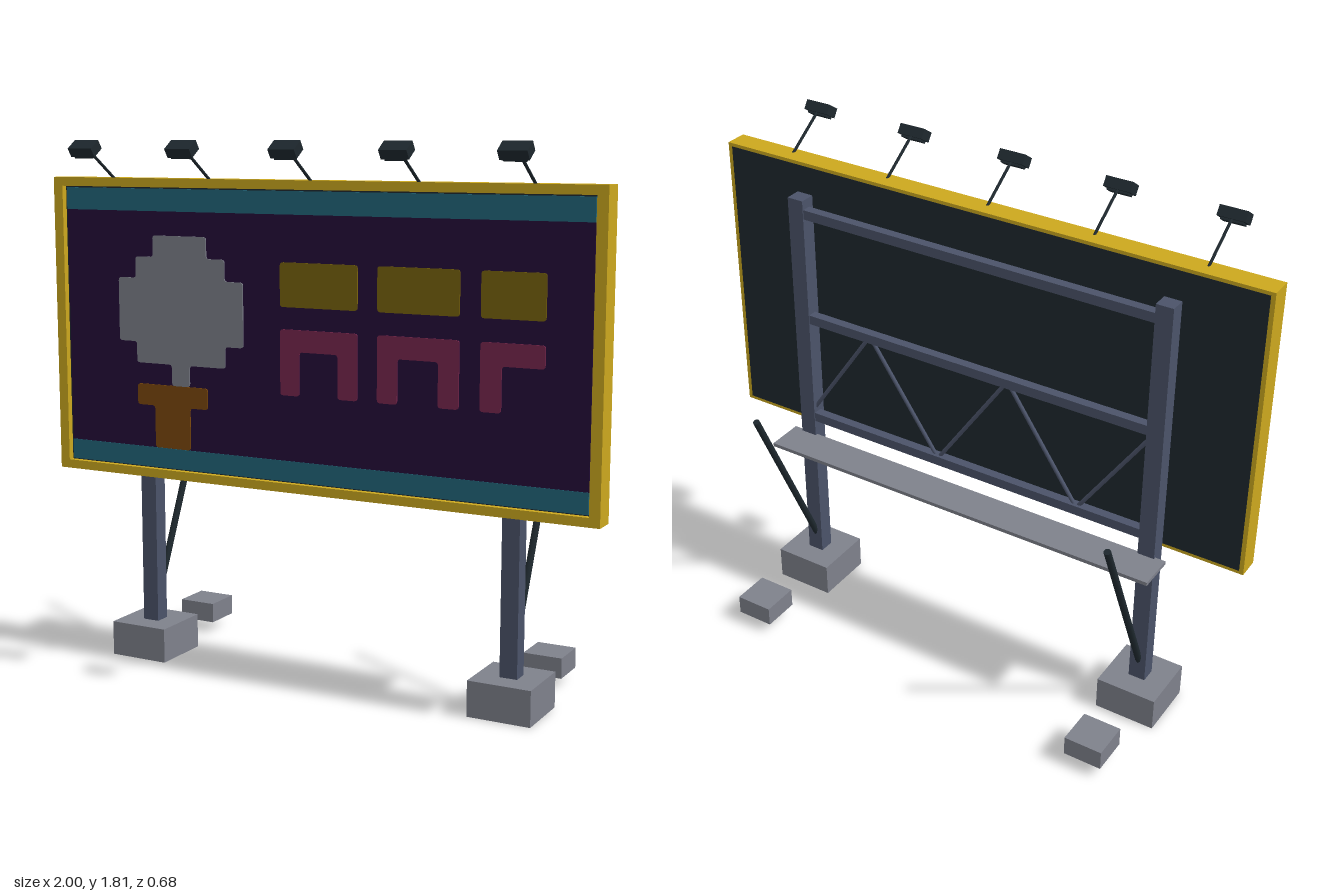
import * as THREE from 'three';

const mat = (name, color) => {
  const m = new THREE.MeshStandardMaterial({ color });
  m.name = name;
  return m;
};

export function createModel() {
  const M = {
    frame: mat('frame yellow', 0xcca81e),
    concrete: mat('concrete grey', 0x7e818b),
    steel: mat('blue steel', 0x4b5369),
    dark: mat('dark metal', 0x1e282e),
    purple: mat('poster purple', 0x240c3a),
    teal: mat('band teal', 0x22667a),
    gold: mat('tile gold', 0x78620c),
    pink: mat('tile pink', 0x78264e),
    orange: mat('pot orange', 0x7c480c),
  };
  const root = new THREE.Group();

  const add = (name, geo, material, parent = root) => {
    const mesh = new THREE.Mesh(geo, material);
    mesh.name = name;
    parent.add(mesh);
    return mesh;
  };
  // box given by its limits on each axis
  const box = (name, m, [x0, x1], [y0, y1], [z0, z1], parent) => {
    const b = add(name, new THREE.BoxGeometry(x1 - x0, y1 - y0, z1 - z0), m, parent);
    b.position.set((x0 + x1) / 2, (y0 + y1) / 2, (z0 + z1) / 2);
    return b;
  };
  // round bar between two points
  const bar = (name, m, a, b, r, parent) => {
    const p = new THREE.Vector3(...a), q = new THREE.Vector3(...b);
    const d = q.clone().sub(p);
    const c = add(name, new THREE.CylinderGeometry(r, r, d.length(), 8), m, parent);
    c.position.copy(p).add(q).multiplyScalar(0.5);
    c.quaternion.setFromUnitVectors(new THREE.Vector3(0, 1, 0), d.normalize());
    return c;
  };

  // Sign frame with a rectangular opening
  const outline = (s, x, y0, y1) =>
    s.moveTo(-x, y0).lineTo(x, y0).lineTo(x, y1).lineTo(-x, y1).closePath();
  const frame = outline(new THREE.Shape(), 1, 0.66, 1.68);
  frame.holes.push(outline(new THREE.Path(), 0.964, 0.69, 1.65));
  const frameGeo = new THREE.ExtrudeGeometry(frame, { depth: 0.078, bevelEnabled: false });
  add('signFrame', frameGeo.translate(0, 0, 0.097), M.frame);

  // Backing and poster
  box('backPanel', M.dark, [-0.985, 0.985], [0.672, 1.668], [0.096, 0.1]);
  box('posterBacking', M.dark, [-0.964, 0.964], [0.69, 1.65], [0.1, 0.154]);
  box('poster', M.purple, [-0.957, 0.957], [0.76, 1.57], [0.154, 0.158]);
  box('topBand', M.teal, [-0.957, 0.957], [1.57, 1.645], [0.154, 0.16]);
  box('bottomBand', M.teal, [-0.957, 0.957], [0.694, 0.763], [0.154, 0.16]);

  // Poster artwork: stepped outlines on a cell grid, with softened corners
  const art = (name, m, cells) => {
    const pts = cells.map(([i, j]) => new THREE.Vector2(-0.745 + 0.0707 * i, 0.764 + 0.0725 * j));
    const s = new THREE.Shape();
    pts.forEach((p, k) => {
      const prev = pts[(k + pts.length - 1) % pts.length], next = pts[(k + 1) % pts.length];
      const a = p.clone().add(prev.clone().sub(p).setLength(0.011));
      const b = p.clone().add(next.clone().sub(p).setLength(0.011));
      if (k) s.lineTo(a.x, a.y);
      else s.moveTo(a.x, a.y);
      s.quadraticCurveTo(p.x, p.y, b.x, b.y);
    });
    s.closePath();
    const g = new THREE.ExtrudeGeometry(s, { depth: 0.005, bevelEnabled: false, curveSegments: 3 });
    add(name, g.translate(0, 0, 0.157), m);
  };
  art('treeArt', M.concrete, [
    [3, 3], [4, 3], [4, 4], [6, 4], [6, 5], [7, 5], [7, 8], [6, 8], [6, 9], [5, 9], [5, 10],
    [2, 10], [2, 9], [1, 9], [1, 8], [0, 8], [0, 5], [1, 5], [1, 4], [3, 4],
  ]);
  art('potArt', M.orange, [[2, 0], [4, 0], [4, 2], [5, 2], [5, 3], [1, 3], [1, 2], [2, 2]]);
  for (const [a, b] of [[9, 13], [14, 18], [19, 22]]) {
    art('goldTile', M.gold, [[a, 7], [b, 7], [b, 9], [a, 9]]);
    const rightLeg = b - a === 4 ? [[b - 1, 5], [b - 1, 3], [b, 3]] : [[b, 5]];
    art('pinkArch', M.pink, [[a, 3], [a + 1, 3], [a + 1, 5], ...rightLeg, [b, 6], [a, 6]]);
  }

  // Posts, footings and rear braces, mirrored left and right
  for (const side of [-1, 1]) {
    const support = new THREE.Group();
    support.name = side > 0 ? 'leftSupport' : 'rightSupport';
    const c = side * 0.683;
    box('footing', M.concrete, [c - 0.108, c + 0.108], [0, 0.12], [-0.04, 0.175], support);
    box('post', M.steel, [c - 0.03, c + 0.03], [0.12, 1.57], [0.04, 0.096], support);
    bar('rearBrace', M.dark, [c, 0.18, 0.055], [c, 0.845, -0.245], 0.012, support);
    box('rearBlock', M.concrete, [c - 0.068, c + 0.068], [0.04, 0.11], [-0.34, -0.205], support);
    root.add(support);
  }

  // Rear crossbeams and zigzag bracing
  for (const y of [0.72, 1.12, 1.52])
    box('crossBeam', M.steel, [-0.683, 0.683], [y - 0.017, y + 0.017], [0.043, 0.076]);
  for (let i = 0; i < 5; i++) {
    const node = (k) => [0.683 - k * 0.2732, k % 2 ? 1.12 : 0.72, 0.06];
    bar('zigzagBrace', M.steel, node(i), node(i + 1), 0.007);
  }

  // Service walkway
  box('walkway', M.concrete, [-0.75, 0.75], [0.63, 0.643], [-0.083, 0.05]);

  // Floodlights on slanted arms
  for (let i = -2; i <= 2; i++) {
    const lamp = new THREE.Group();
    lamp.name = 'floodlight';
    lamp.position.x = i * 0.382;
    bar('lampArm', M.dark, [0, 1.675, 0.145], [0, 1.78, 0.3], 0.005, lamp);
    const head = new THREE.Group();
    head.name = 'lampHead';
    head.position.set(0, 1.778, 0.311);
    head.rotation.x = 0.6;
    box('lampHousing', M.dark, [-0.047, 0.047], [-0.017, 0.017], [-0.025, 0.025], head);
    box('lampLens', M.dark, [-0.037, 0.037], [-0.024, -0.017], [-0.014, 0.022], head);
    lamp.add(head);
    root.add(lamp);
  }
  return root;
}
